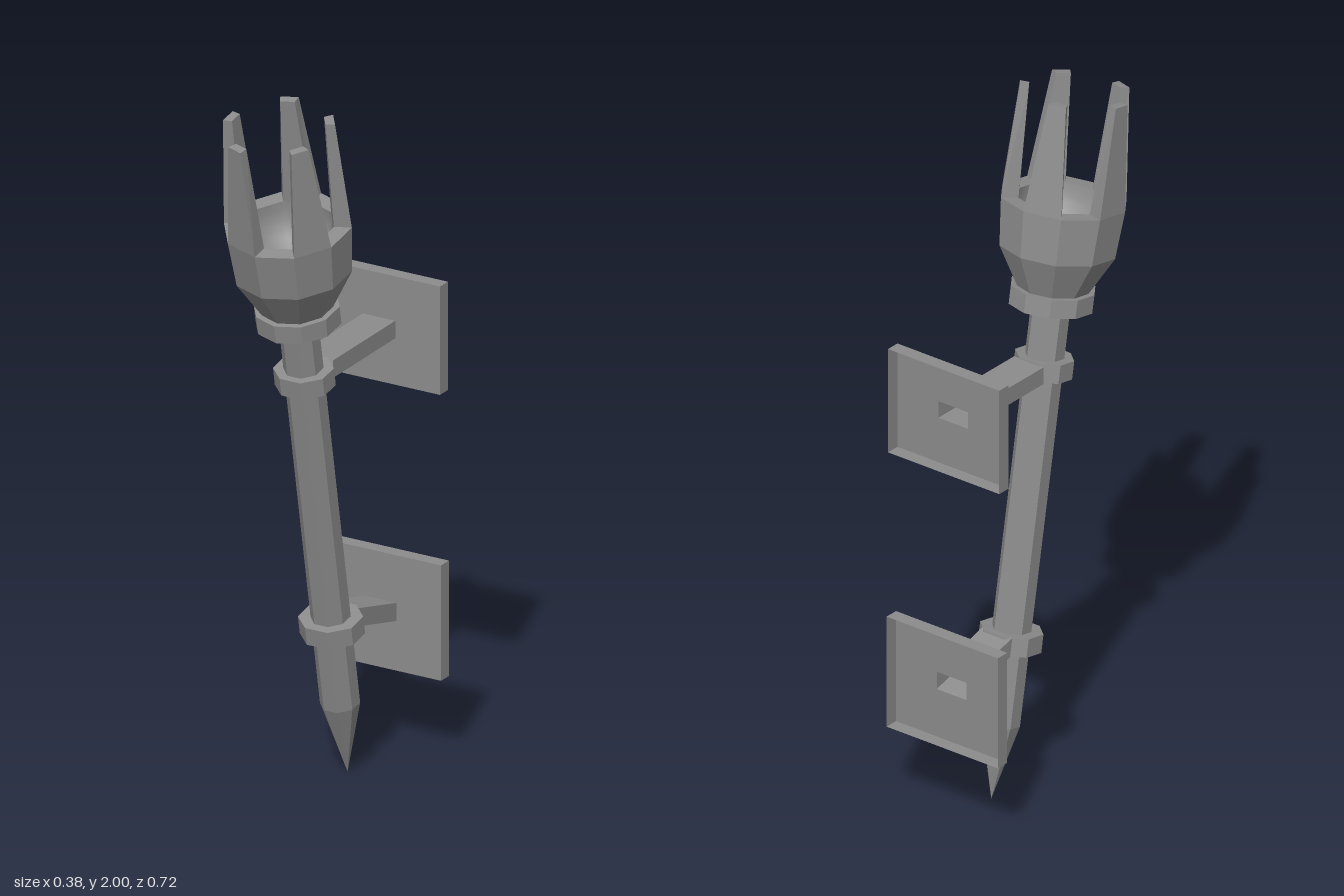
import * as THREE from 'three';

const iron = new THREE.MeshStandardMaterial({ color: 0x8c8c8c, side: THREE.DoubleSide });
iron.name = 'grey iron';

function add(parent, name, geometry, faceted = true) {
  let g = geometry;
  if (faceted) {
    g = g.index ? g.toNonIndexed() : g;
    g.computeVertexNormals();
  }
  const mesh = new THREE.Mesh(g, iron);
  mesh.name = name;
  parent.add(mesh);
  return mesh;
}

// Surface through four-cornered rings, optionally closed at the far end
function loft(rings, cap = false) {
  const index = [];
  for (let r = 0; r < rings.length - 1; r++) {
    for (let i = 0; i < 4; i++) {
      const a = r * 4 + i, b = r * 4 + (i + 1) % 4;
      index.push(a, b, b + 4, a, b + 4, a + 4);
    }
  }
  const t = (rings.length - 1) * 4;
  if (cap) index.push(t, t + 1, t + 2, t, t + 2, t + 3);
  const g = new THREE.BufferGeometry();
  g.setAttribute('position', new THREE.Float32BufferAttribute(rings.flat(2), 3));
  g.setIndex(index);
  return g;
}

const lathe = (points, sides, phase = 0) =>
  new THREE.LatheGeometry(points.map(([r, y]) => new THREE.Vector2(r, y)), sides, phase);

// Upright rectangle at depth z
const rect = (w, y0, y1, z) => [[w, y0, z], [-w, y0, z], [-w, y1, z], [w, y1, z]];

// Quad across a prong: outer and inner distance from the axis, with half widths
const prongRing = (y, outer, outerW, inner, innerW) =>
  [[-outerW, y, outer], [outerW, y, outer], [innerW, y, inner], [-innerW, y, inner]];

export function createModel() {
  const model = new THREE.Group();
  model.name = 'wallTorch';

  // Torch built upright from its tip, then leaned forward
  const torch = new THREE.Group();
  torch.name = 'torch';
  torch.position.set(0, 0, -0.15);
  torch.rotation.x = 0.182;
  model.add(torch);

  add(torch, 'shaft', lathe([[0, 0], [0.054, 0.215], [0.054, 1.41]], 8, Math.PI / 8));

  // Clamps around the shaft
  for (const [name, y, r] of [['upperClamp', 1.23, 0.083], ['lowerClamp', 0.457, 0.089]]) {
    const clamp = add(torch, name,
      lathe([[0, -0.026], [r, -0.026], [r, 0.026], [0, 0.026]], 8, Math.PI / 8));
    clamp.position.y = y;
    clamp.scale.z = 0.93;
  }

  // Ten-sided cup with a collar and a thick rim
  add(torch, 'collar', lathe([[0, 1.4], [0.117, 1.4], [0.117, 1.452], [0.09, 1.452]], 10));
  add(torch, 'cup', lathe([[0.1, 1.452], [0.162, 1.565], [0.174, 1.7], [0.125, 1.7]], 10));

  // Smooth hollow inside the cup
  const bowl = [];
  for (let i = 0; i <= 8; i++) {
    const a = (i / 8) * Math.PI / 2;
    bowl.push([0.125 * Math.cos(a), 1.7 - 0.13 * Math.sin(a)]);
  }
  add(torch, 'bowl', lathe(bowl, 10), false);

  // Five tapering prongs on every other side of the rim
  const c = Math.cos(Math.PI / 10), s = Math.sin(Math.PI / 10);
  for (let i = 0; i < 5; i++) {
    const prong = add(torch, 'prong', loft([
      prongRing(1.7, 0.174 * c, 0.174 * s, 0.125 * c, 0.125 * s),
      prongRing(2.006, 0.152, 0.025, 0.127, 0.02),
    ], true));
    prong.rotation.y = -Math.PI / 10 - i * Math.PI * 0.4;
  }

  // Wall brackets: a hollow arm opening into a plate that is open at the back
  const brackets = [
    { name: 'upper', arm: [1.193, 1.243, 0.01], hole: [1.193, 1.243], plate: [1.06, 1.37], z: -0.312 },
    { name: 'lower', arm: [0.435, 0.487, -0.125], hole: [0.382, 0.434], plate: [0.24, 0.57], z: -0.318 },
  ];
  for (const { name, arm, hole, plate, z } of brackets) {
    const opening = rect(0.05, ...hole, z);
    add(model, name + 'Arm', loft([rect(0.05, ...arm), opening]));
    add(model, name + 'Plate',
      loft([opening, rect(0.188, ...plate, z), rect(0.188, ...plate, z - 0.04)]));
  }
  return model;
}
